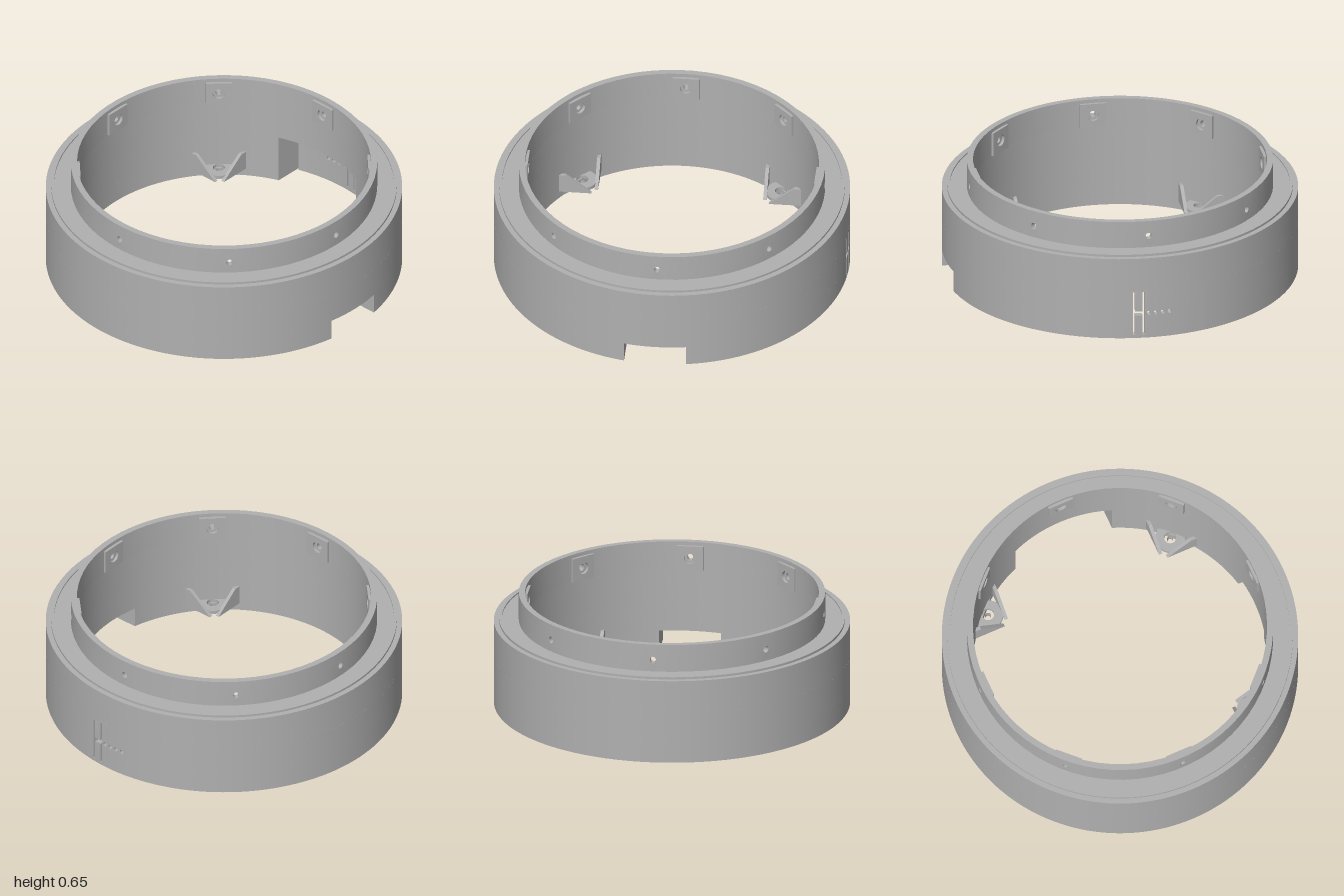
import * as THREE from 'three';
import { mergeGeometries, toCreasedNormals } from 'three/addons/utils/BufferGeometryUtils.js';

const OUT = 1, IN = 0.825, NECK = 0.86;
const POCKET_TOP = 0.29, NOTCH_TOP = 0.12;
const rad = THREE.MathUtils.degToRad;

export function createModel() {
  const model = new THREE.Group();
  const grey = new THREE.MeshStandardMaterial({ color: 0xb0b0b0 });
  grey.name = 'grey';

  const add = (name, geometry, parent = model) => {
    const mesh = new THREE.Mesh(toCreasedNormals(geometry, 0.5), grey);
    mesh.name = name;
    parent.add(mesh);
    return mesh;
  };
  const circle = (x, y, r) => new THREE.Path().absarc(x, y, r, 0, Math.PI * 2, true);

  // Extrudes a plan shape (x, -z) upwards from y0 to y1
  const plan = (shape, y0, y1, curveSegments = 32) =>
    new THREE.ExtrudeGeometry(shape, { depth: y1 - y0, bevelEnabled: false, curveSegments })
      .rotateX(-Math.PI / 2).translate(0, y0, 0);

  // Ring sector whose ends are cut parallel to the middle line of each gap;
  // gaps are [centre angle, half width]
  const sector = ([c0, w0], [c1, w1]) => {
    const s = new THREE.Shape();
    s.absarc(0, 0, OUT, c0 + Math.asin(w0 / OUT), c1 - Math.asin(w1 / OUT), false);
    s.absarc(0, 0, IN, c1 - Math.asin(w1 / IN), c0 + Math.asin(w0 / IN), true);
    return s;
  };

  // Curved wall panel around the y axis; a0, a1 in degrees from +z, holes in (radians, y)
  const panel = (r0, r1, a0, a1, y0, y1, holes = []) => {
    const h = rad(a1 - a0) / 2, mid = rad(a0 + a1) / 2;
    const s = new THREE.Shape([[-h, y0], [h, y0], [h, y1], [-h, y1]].map(p => new THREE.Vector2(...p)));
    s.holes.push(...holes);
    const g = new THREE.ExtrudeGeometry(s, { depth: r1 - r0, bevelEnabled: false, curveSegments: 8 });
    const p = g.attributes.position;
    for (let i = 0; i < p.count; i++) {
      const a = mid + p.getX(i), r = r0 + p.getZ(i);
      p.setXYZ(i, r * Math.sin(a), p.getY(i), r * Math.cos(a));
    }
    return g;
  };

  // Lower body: side notch at +x, inner pocket at -z
  const notch = [0, 0.175], notchEnd = [Math.PI * 2, 0.175];
  const pocket = [Math.PI / 2, 0.296], pocketEnd = [Math.PI * 2.5, 0.296];
  const upper = sector(pocket, pocketEnd);
  upper.holes.push(circle(0.9, 0, 0.035)); // blind hole in the notch ceiling
  add('lowerBodyShort', plan(sector(notch, pocket), 0, NOTCH_TOP));
  add('lowerBodyLong', plan(sector(pocket, notchEnd), 0, NOTCH_TOP, 96));
  add('middleBody', plan(upper, NOTCH_TOP, POCKET_TOP, 128));

  // Upper body with stepped shoulder
  const profile = [[IN, POCKET_TOP], [OUT, POCKET_TOP], [OUT, 0.487], [0.97, 0.487], [0.97, 0.5],
    [0.955, 0.5], [0.955, 0.492], [IN, 0.492], [IN, POCKET_TOP]];
  add('shoulder', new THREE.LatheGeometry(profile.map(p => new THREE.Vector2(...p)), 128));

  // Thin pocket wall with an H-shaped slot and a row of holes
  const slot = () => {
    const l = rad(-1.32), r = rad(1.78), w = 0.006, b = 0.012, m = 0.15;
    return new THREE.Path([
      [l - w, 0.02], [l + w, 0.02], [l + w, m - b], [r - w, m - b], [r - w, 0.02], [r + w, 0.02],
      [r + w, 0.28], [r - w, 0.28], [r - w, m + b], [l + w, m + b], [l + w, 0.28], [l - w, 0.28],
    ].map(p => new THREE.Vector2(...p)));
  };
  const edges = [-17.22, -14, -10.5, -7.2, -2.6, -0.35, 1.95, 4.25, 6.55, 10, 13.5, 17.22];
  const wall = [];
  for (let i = 0; i < edges.length - 1; i++) {
    const holes = i === 3 ? [slot()] : i > 3 && i < 8 ? [circle(0, 0.15, 0.012)] : [];
    wall.push(panel(0.965, OUT, 180 + edges[i], 180 + edges[i + 1], 0, POCKET_TOP, holes));
  }
  add('pocketWall', mergeGeometries(wall));

  // Neck ring with eight radial screw holes
  const neck = [];
  for (let i = 0; i < 72; i++) {
    const holes = i % 9 === 0 ? [circle(0, 0.56, 0.02)] : [];
    neck.push(panel(IN, NECK, i * 5 - 2.5, i * 5 + 2.5, 0.49, 0.652, holes));
  }
  add('neckRing', mergeGeometries(neck));

  // Flat pads behind the screw holes
  const padShape = new THREE.Shape([[-0.075, -0.07], [0.075, -0.07], [0.075, 0.07], [-0.075, 0.07]]
    .map(p => new THREE.Vector2(...p)));
  padShape.holes.push(circle(0, 0, 0.034));
  const padGeometry = new THREE.ExtrudeGeometry(padShape, { depth: 0.017, bevelEnabled: false, curveSegments: 8 })
    .translate(0, 0.56, 0.808);
  for (let i = 0; i < 8; i++) add('screwPad', padGeometry).rotation.y = i * Math.PI / 4;

  // Corner brackets: plate, raised boss and two sloping fins
  const c = 0.465, r = 0.832, end = Math.asin(c / r);
  const plate = new THREE.Shape().moveTo(c, c);
  plate.absarc(0, 0, r, end, Math.PI / 2 - end, false);
  plate.closePath();
  plate.holes.push(circle(0.56, 0.56, 0.017));
  const boss = new THREE.Shape().absarc(0.56, 0.56, 0.085, 0, Math.PI * 2, false);
  boss.holes.push(circle(0.56, 0.56, 0.034));
  const fin = new THREE.Shape([[0.5, 0.045], [0.685, 0.045], [0.685, 0.16], [0.645, 0.16]]
    .map(p => new THREE.Vector2(...p)));
  const finGeometry = () => new THREE.ExtrudeGeometry(fin, { depth: 0.02, bevelEnabled: false });
  for (let i = 0; i < 4; i++) {
    const bracket = new THREE.Group();
    bracket.name = 'cornerBracket';
    bracket.rotation.y = i * Math.PI / 2;
    add('bracketPlate', plan(plate, 0, 0.05, 16).rotateY(-Math.PI / 2), bracket);
    add('bracketBoss', plan(boss, 0.05, 0.07, 16).rotateY(-Math.PI / 2), bracket);
    add('bracketFin', finGeometry().translate(0, 0, c), bracket);
    add('bracketFin', finGeometry().rotateY(-Math.PI / 2).translate(c + 0.02, 0, 0), bracket);
    model.add(bracket);
  }
  return model;
}
